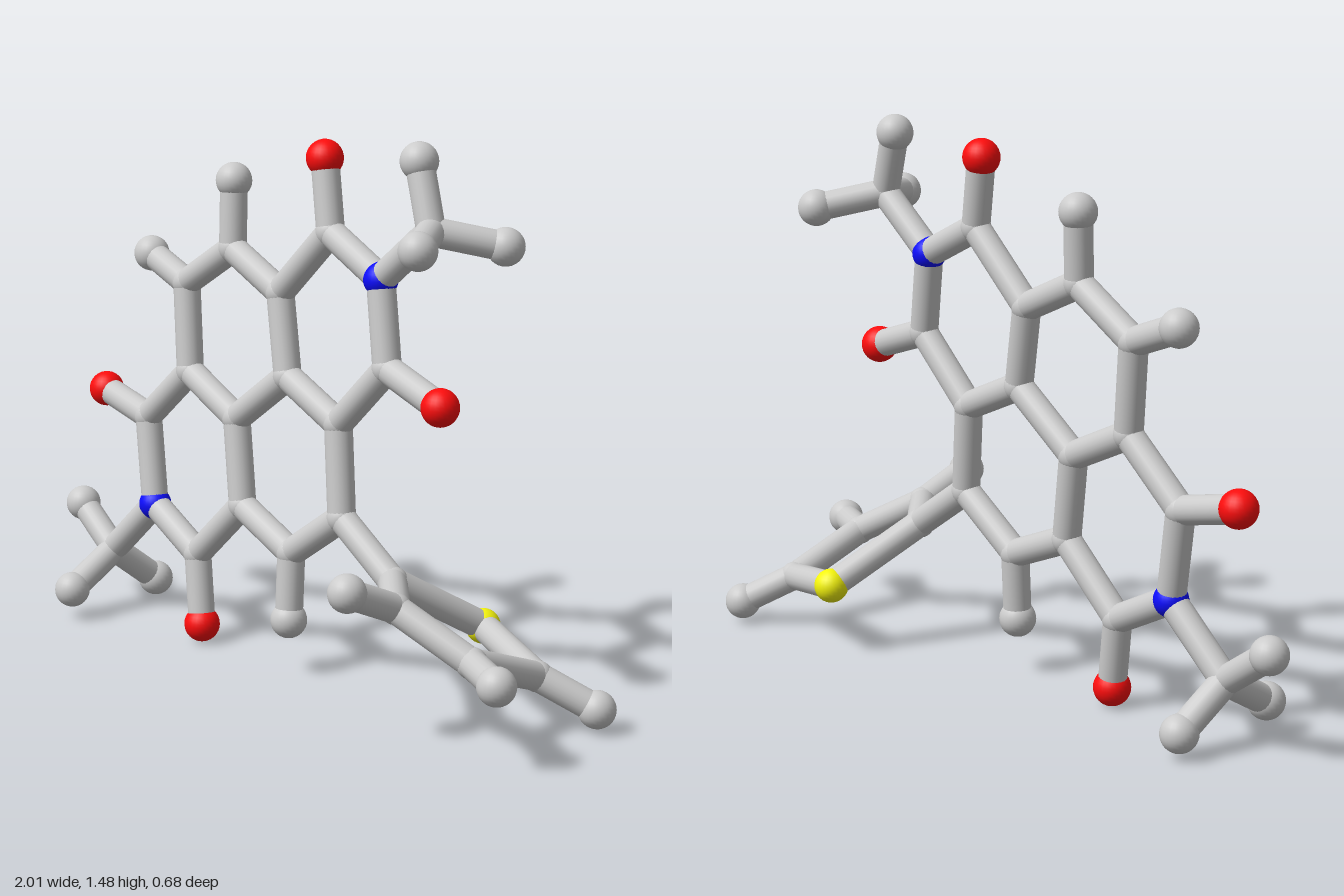
import * as THREE from 'three';

const BOND_R = 0.038;
const KINDS = {
  C: { name: 'carbonJoint', color: 0xcccccc, r: 0.041 },
  H: { name: 'hydrogenBall', color: 0xcccccc, r: 0.05 },
  O: { name: 'oxygenBall', color: 0xff0d0d, r: 0.05 },
  N: { name: 'nitrogenJoint', color: 0x0d0dff, r: 0.046 },
  S: { name: 'sulfurBall', color: 0xf5f50d, r: 0.047 },
};

// Atoms as [x, y] or [x, y, z]; without z they lie in the tilted plane of the fused rings
const ATOMS = {
  // fused ring core
  C1: [0.10, 1.21], N1: [0.31, 1.115], C2: [0.355, 0.89], C3: [0.175, 0.715],
  C4: [-0.045, 0.805], C5: [-0.095, 1.025], C6: [-0.31, 1.115], C7: [-0.51, 0.995],
  C8: [-0.475, 0.75], C9: [-0.255, 0.655], C10: [-0.21, 0.42], C11: [0.01, 0.335],
  C12: [0.21, 0.47], C13: [-0.66, 0.59], N2: [-0.61, 0.345], C14: [-0.40, 0.245],
  // atoms hanging off the core
  O1: [0.06, 1.40], O2: [0.565, 0.825], O3: [-0.87, 0.635], O4: [-0.365, 0.05],
  H6: [-0.32, 1.30], H7: [-0.68, 1.055], H11: [0.015, 0.15],
  // upper three-pronged end
  C20: [0.49, 1.26, -0.085], H20: [0.43, 1.43, -0.10], H21: [0.60, 1.24, 0.07], H22: [0.61, 1.22, -0.23],
  // lower three-pronged end
  C30: [-0.795, 0.175, -0.08], H30: [-0.955, 0.28, -0.095], H31: [-0.785, 0.085, 0.083], H32: [-0.775, 0.065, -0.22],
  // five-sided side ring
  C15: [0.41, 0.34, -0.04], C16: [0.59, 0.34, 0.125], C17: [0.79, 0.23, 0.055],
  C18: [0.78, 0.14, -0.195], S1: [0.495, 0.19, -0.29],
  H16: [0.585, 0.41, 0.287], H17: [0.95, 0.225, 0.133], H18: [0.90, 0.06, -0.29],
};

// Each chain is a run of bonded atoms
const CHAINS = [
  'C1 N1 C2 C3 C4 C5 C1', 'C5 C6 C7 C8 C9 C4', 'C9 C10 C11 C12 C3',
  'C8 C13 N2 C14 C10', 'C1 O1', 'C2 O2', 'C13 O3', 'C14 O4', 'C6 H6', 'C7 H7', 'C11 H11',
  'N1 C20 H20', 'H21 C20 H22', 'N2 C30 H30', 'H31 C30 H32',
  'C12 C15 C16 C17 C18 S1 C15', 'C16 H16', 'C17 H17', 'C18 H18',
];

function position([x, y, z = -0.025 + 0.059 * x - 0.07 * y]) {
  return new THREE.Vector3(x, y, z);
}

export function createModel() {
  const model = new THREE.Group();
  model.name = 'molecule';
  const atoms = new THREE.Group();
  atoms.name = 'atoms';
  const bonds = new THREE.Group();
  bonds.name = 'bonds';
  model.add(atoms, bonds);

  // balls and joints
  const parts = {};
  for (const [key, kind] of Object.entries(KINDS)) {
    parts[key] = {
      geometry: new THREE.SphereGeometry(kind.r, 24, 16),
      material: new THREE.MeshStandardMaterial({ color: kind.color }),
    };
  }
  const points = {};
  for (const [id, coords] of Object.entries(ATOMS)) {
    const { geometry, material } = parts[id[0]];
    const ball = new THREE.Mesh(geometry, material);
    ball.name = KINDS[id[0]].name;
    ball.position.copy(points[id] = position(coords));
    atoms.add(ball);
  }

  // straight rods between bonded atoms
  const rod = new THREE.CylinderGeometry(BOND_R, BOND_R, 1, 20, 1, true);
  const up = new THREE.Vector3(0, 1, 0);
  for (const chain of CHAINS) {
    const ids = chain.split(' ');
    for (let i = 1; i < ids.length; i++) {
      const a = points[ids[i - 1]], b = points[ids[i]];
      const along = b.clone().sub(a);
      const bond = new THREE.Mesh(rod, parts.C.material);
      bond.name = 'bond';
      bond.scale.y = along.length();
      bond.position.copy(a).add(b).multiplyScalar(0.5);
      bond.quaternion.setFromUnitVectors(up, along.normalize());
      bonds.add(bond);
    }
  }
  return model;
}
